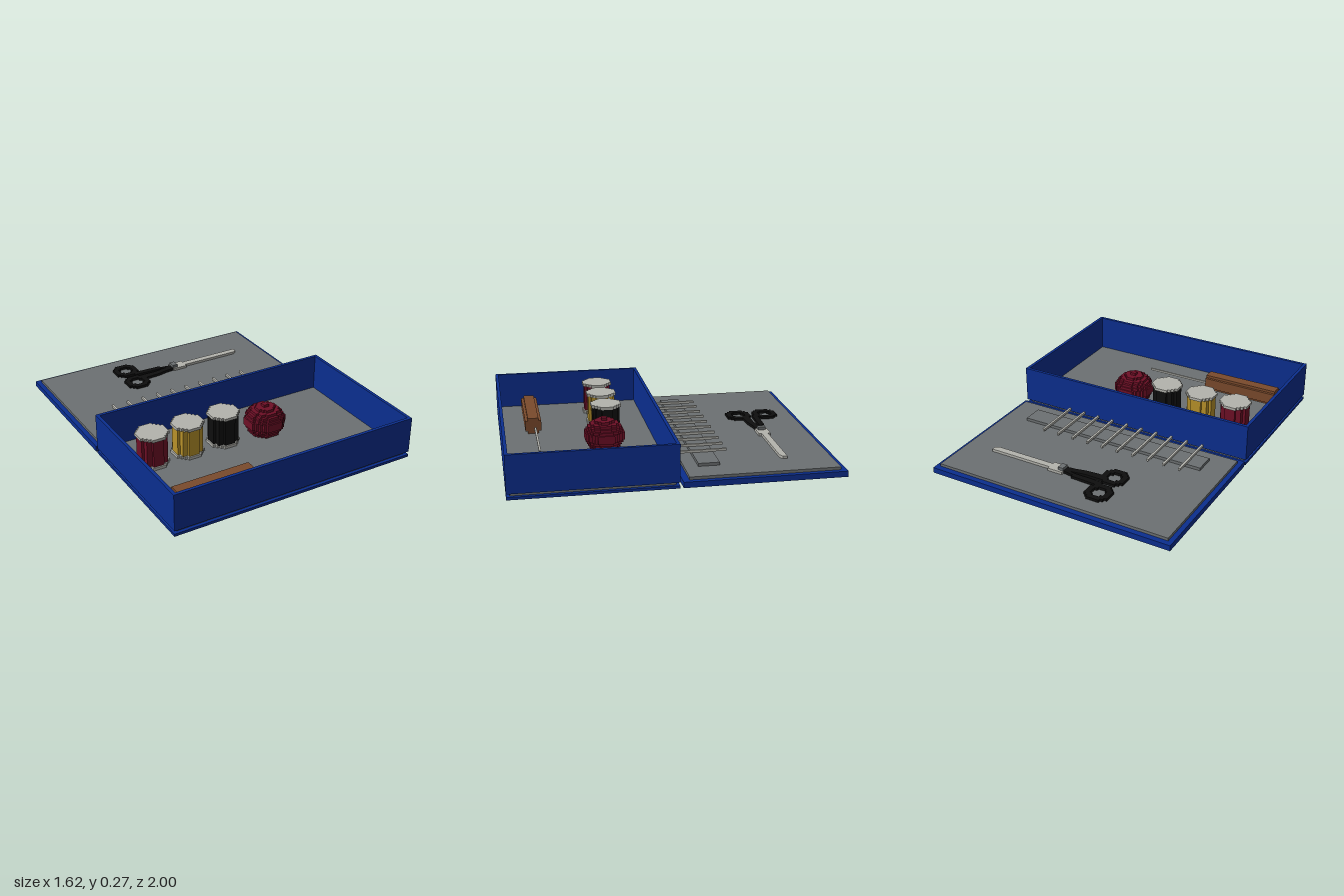
import * as THREE from 'three';

const mat = (name, color) => new THREE.MeshStandardMaterial({ name, color });

export function createModel() {
  const blue = mat('blue case', 0x0b2e8f);
  const grey = mat('grey lining', 0x6c7072);
  const silver = mat('pale metal', 0xb3b3ad);
  const black = mat('black', 0x0e0e0e);
  const red = mat('dark red', 0x6e0f26);
  const yellow = mat('yellow thread', 0xb8922a);
  const brown = mat('brown wood', 0x7a4a2c);

  const model = new THREE.Group();
  model.name = 'sewingKit';
  const U = 0.0173; // block size of the stepped shapes

  const group = (name, parent = model) => {
    const g = new THREE.Group();
    g.name = name;
    parent.add(g);
    return g;
  };
  const add = (name, geometry, material, parent) => {
    const m = new THREE.Mesh(geometry, material);
    m.name = name;
    parent.add(m);
    return m;
  };
  // Box given by its extents on each axis
  const box = (name, x0, x1, y0, y1, z0, z1, material, parent) => {
    const m = add(name, new THREE.BoxGeometry(x1 - x0, y1 - y0, z1 - z0), material, parent);
    m.position.set((x0 + x1) / 2, (y0 + y1) / 2, (z0 + z1) / 2);
    return m;
  };
  // Stair-stepped circle, n blocks across
  const steppedCircle = (n) => {
    const right = [];
    for (let i = 0; i < n; i++) {
      const c = i - (n - 1) / 2;
      let half = (n - 1) / 2;
      while (half > 0 && c * c + half * half > n * n / 4) half--;
      const w = (half + 0.5) * U;
      right.push([w, (c - 0.5) * U], [w, (c + 0.5) * U]);
    }
    const left = right.map(([x, y]) => [-x, y]).reverse();
    return [...right, ...left]
      .filter((p, i, a) => {
        const q = a[(i + a.length - 1) % a.length];
        return Math.hypot(p[0] - q[0], p[1] - q[1]) > 1e-6;
      })
      .map(([x, y]) => new THREE.Vector2(x, y));
  };
  const extrude = (shape, depth) =>
    new THREE.ExtrudeGeometry(shape, { depth, bevelEnabled: false });
  // Upright stepped disc standing on y
  const disc = (name, n, height, x, y, z, material, parent) => {
    const geo = extrude(new THREE.Shape(steppedCircle(n)), height).rotateX(-Math.PI / 2);
    const m = add(name, geo, material, parent);
    m.position.set(x, y, z);
    return m;
  };
  // Flat plate from [x, z] outline points
  const plate = (name, points, y, height, material, parent) => {
    const shape = new THREE.Shape(points.map(([x, z]) => new THREE.Vector2(x, -z)));
    const m = add(name, extrude(shape, height).rotateX(-Math.PI / 2), material, parent);
    m.position.y = y;
    return m;
  };

  // Open box: base, lining and four walls resting on the lining
  const tray = group('tray');
  box('trayBase', -0.81, 0.81, 0, 0.017, 0.01, 1, blue, tray);
  box('trayLining', -0.79, 0.79, 0.017, 0.036, 0.03, 0.98, grey, tray);
  for (const s of [-1, 1]) {
    box('sideWall', s * 0.8 - 0.01, s * 0.8 + 0.01, 0.036, 0.27, 0.01, 1, blue, tray);
  }
  box('frontWall', -0.79, 0.79, 0.036, 0.27, 0.98, 1, blue, tray);
  box('backWall', -0.79, 0.79, 0.036, 0.27, 0.01, 0.03, blue, tray);

  // Lid lying open behind, joined by a small hinge
  const lid = group('lid');
  box('lidPanel', -0.81, 0.81, 0, 0.036, -1, -0.01, blue, lid);
  box('lidLining', -0.78, 0.78, 0.036, 0.054, -0.965, -0.05, grey, lid);
  box('hinge', -0.058, -0.042, 0, 0.017, -0.01, 0.01, blue, model);

  // Thread spools
  [[-0.59, red], [-0.35, yellow], [-0.1, black]].forEach(([x, color]) => {
    const spool = group('spool');
    disc('bottomFlange', 11, 0.018, x, 0.036, 0.32, silver, spool);
    disc('thread', 10, 0.174, x, 0.054, 0.32, color, spool);
    disc('topFlange', 11, 0.018, x, 0.228, 0.32, silver, spool);
  });

  // Pincushion stacked from stepped layers
  const cushion = group('pincushion');
  [8, 11, 12, 13, 14, 14, 14, 13, 12, 10, 7, 2].forEach((n, i) => {
    disc('cushionLayer', n, U, 0.175, 0.036 + i * U, 0.365, red, cushion);
  });

  // Awl: wooden handle with a thin spike
  const awl = group('awl');
  const handle = add('awlHandle',
    extrude(new THREE.Shape(steppedCircle(6)), 0.505).rotateY(Math.PI / 2), brown, awl);
  handle.position.set(-0.69, 0.036 + 3 * U, 0.783);
  box('awlSpike', -0.185, 0.26, 0.064, 0.077, 0.764, 0.777, silver, awl);

  // Scissors: two ring handles, tapering arms, blade and rivet
  const scissors = group('scissors');
  for (const z of [-0.78, -0.597]) {
    const ring = new THREE.Shape(steppedCircle(9));
    ring.holes.push(new THREE.Path(steppedCircle(5).reverse()));
    const m = add('ringHandle', extrude(ring, 0.017).rotateX(-Math.PI / 2), black, scissors);
    m.position.set(-0.23, 0.054, z);
  }
  plate('backArm', [[-0.2, -0.715], [-0.165, -0.722], [0, -0.715], [0, -0.7], [0.07, -0.69],
    [0.07, -0.67], [0, -0.68], [-0.2, -0.685]], 0.054, 0.017, black, scissors);
  plate('frontArm', [[-0.2, -0.66], [-0.06, -0.66], [0, -0.67], [0.07, -0.68], [0.07, -0.64],
    [0.02, -0.635], [-0.05, -0.62], [-0.165, -0.612], [-0.2, -0.62]], 0.054, 0.017, black, scissors);
  plate('blade', [[0.07, -0.71], [0.17, -0.71], [0.17, -0.692], [0.59, -0.692], [0.59, -0.665],
    [0.565, -0.65], [0.17, -0.65], [0.17, -0.632], [0.07, -0.632]], 0.054, 0.017, silver, scissors);
  box('rivet', 0.07, 0.105, 0.071, 0.09, -0.695, -0.645, grey, scissors);

  // Needle rack
  const rack = group('needleRack');
  box('rackBar', -0.63, 0.625, 0.054, 0.073, -0.265, -0.135, grey, rack);
  for (let i = 0; i < 10; i++) {
    const x = -0.532 + i * 0.1075;
    box('needle', x - 0.007, x + 0.007, 0.073, 0.088, -0.352, -0.03, silver, rack);
  }
  return model;
}
